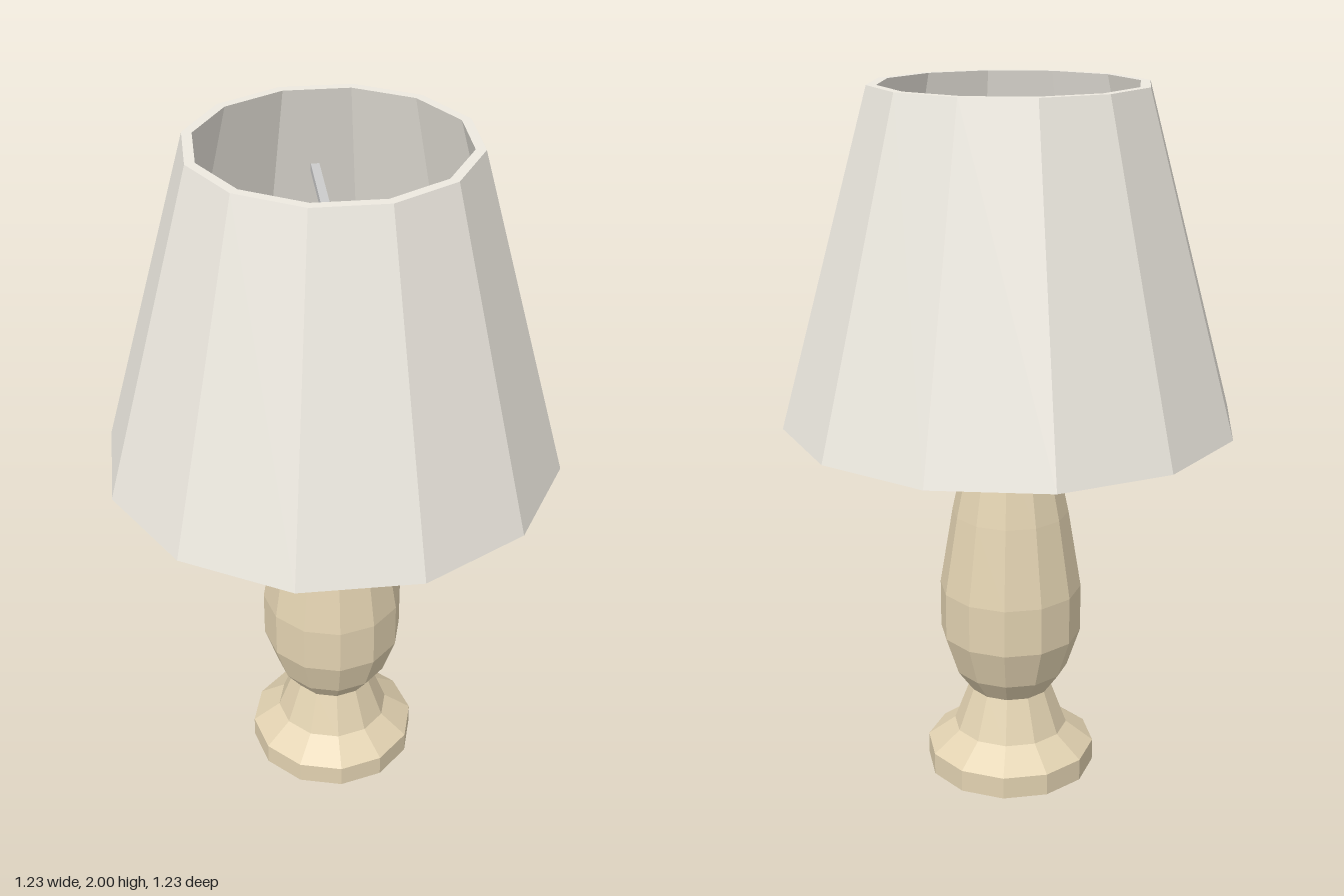
import * as THREE from 'three';

const mat = (color) => new THREE.MeshStandardMaterial({ color, flatShading: true });

// Faceted turned part; profile runs bottom to top as [radius, y]
function turned(name, profile, sides, material, phase = 0) {
  const pts = profile.map(([r, y]) => new THREE.Vector2(r, y));
  const mesh = new THREE.Mesh(new THREE.LatheGeometry(pts, sides, phase), material);
  mesh.name = name;
  return mesh;
}

export function createModel() {
  const lamp = new THREE.Group();
  lamp.name = 'tableLamp';
  const wood = mat(0xe2d2b1);
  const fabric = mat(0xede9e0);
  const metal = mat(0xcccccc);
  const glass = mat(0xf4f4f2);

  // Foot and waisted stem
  lamp.add(turned('foot', [
    [0, 0], [0.247, 0], [0.247, 0.065], [0.167, 0.125], [0.12, 0.25], [0, 0.25],
  ], 12, wood));

  // Vase-shaped body, tapering up inside the shade
  lamp.add(turned('body', [
    [0, 0.25], [0.12, 0.25], [0.167, 0.315], [0.205, 0.43], [0.205, 0.57],
    [0.167, 0.8], [0.124, 1.0], [0.082, 1.33], [0.065, 1.36], [0, 1.36],
  ], 12, wood));

  // Socket and bulb
  lamp.add(turned('socket', [
    [0, 1.34], [0.085, 1.34], [0.085, 1.48], [0, 1.48],
  ], 6, metal));
  lamp.add(turned('bulb', [
    [0.05, 1.47], [0.065, 1.54], [0.105, 1.66], [0.097, 1.76], [0, 1.83],
  ], 6, glass));

  // Hexagonal ring carrying three spokes out to the shade
  const spider = new THREE.Group();
  spider.name = 'shadeSupport';
  spider.position.y = 1.75;
  const h = 0.0125;
  spider.add(turned('supportRing', [
    [0.11, -h], [0.135, -h], [0.135, h], [0.11, h], [0.11, -h],
  ], 6, metal));
  for (let i = 0; i < 3; i++) {
    const spoke = new THREE.Mesh(new THREE.BoxGeometry(0.024, 0.024, 0.295).translate(0, 0, 0.2675), metal);
    spoke.name = 'supportSpoke';
    spoke.rotation.y = (i * Math.PI * 2) / 3;
    spider.add(spoke);
  }
  lamp.add(spider);

  // Shade: thick open cone with faces square to the axes
  lamp.add(turned('shade', [
    [0.635, 1.08], [0.38, 2], [0.353, 2], [0.607, 1.08], [0.635, 1.08],
  ], 12, fabric, Math.PI / 12));

  return lamp;
}
